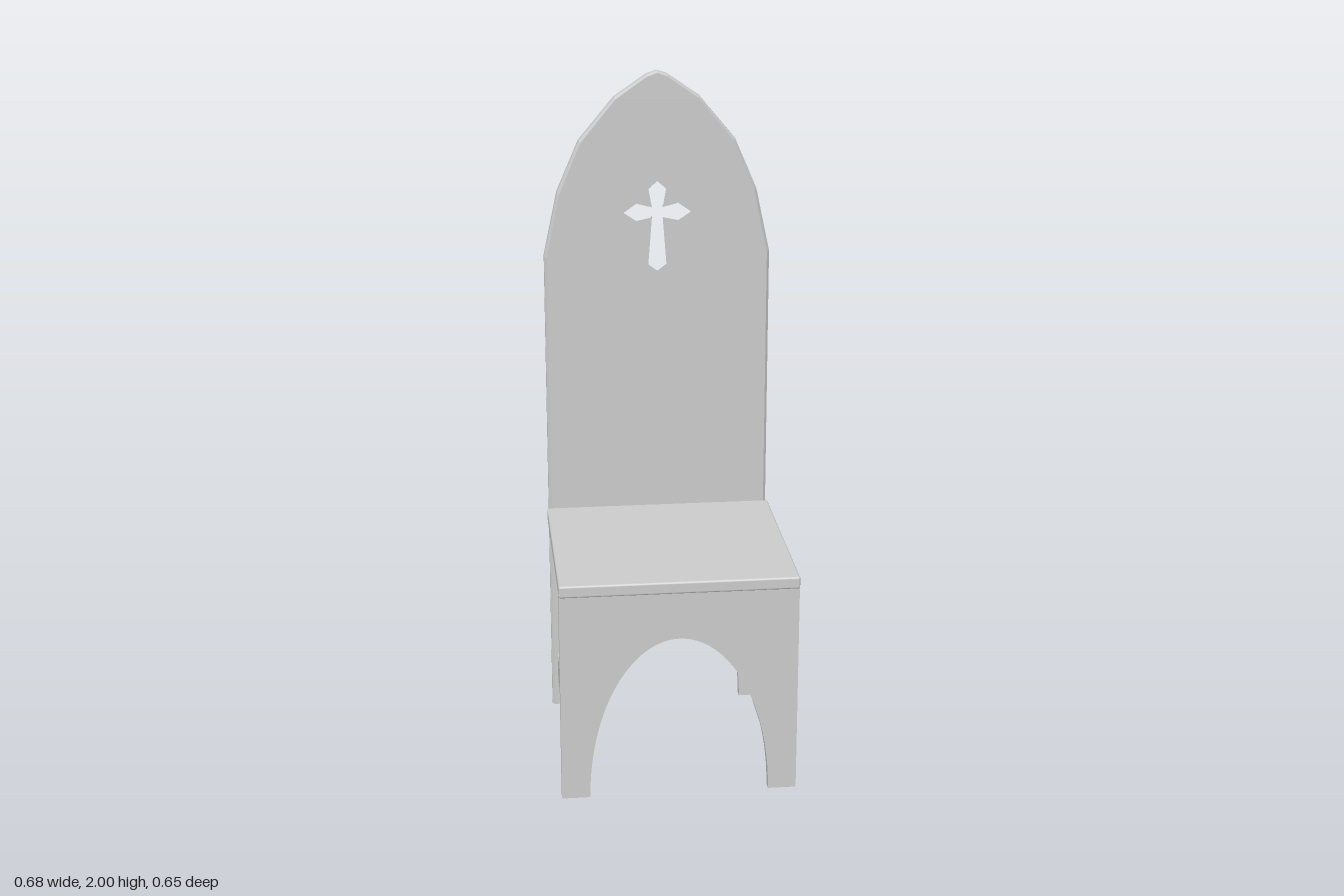
import * as THREE from 'three';
import { RoundedBoxGeometry } from 'three/addons/geometries/RoundedBoxGeometry.js';

const material = new THREE.MeshStandardMaterial({ color: 0xcccccc });

function add(group, name, geometry, x = 0, y = 0, z = 0) {
  const mesh = new THREE.Mesh(geometry, material);
  mesh.name = name;
  mesh.position.set(x, y, z);
  group.add(mesh);
}

// Closed outline from its right half, listed top to bottom with both ends on the axis
function mirrored(half) {
  const left = half.slice(1, -1).reverse().map(([x, y]) => [-x, y]);
  return [...half, ...left].map(([x, y]) => new THREE.Vector2(x, y));
}

// Panel standing on two feet with a half-elliptical arch between them
function archedPanel(halfWidth, upper) {
  const shape = new THREE.Shape();
  shape.moveTo(-0.26, 0);
  shape.lineTo(-halfWidth, 0);
  upper.slice().reverse().forEach(([x, y]) => shape.lineTo(-x, y));
  upper.forEach(([x, y]) => { if (x > 0) shape.lineTo(x, y); });
  shape.lineTo(halfWidth, 0);
  shape.lineTo(0.26, 0);
  shape.absellipse(0, 0, 0.26, 0.49, 0, Math.PI, false);
  return shape;
}

export function createModel() {
  const chair = new THREE.Group();
  chair.name = 'chair';

  // Tall pointed back with a cross-shaped cut-out
  const back = archedPanel(0.336, [
    [0, 2], [0.03, 1.99], [0.125, 1.925], [0.23, 1.8], [0.295, 1.65], [0.336, 1.46],
  ]);
  back.holes.push(new THREE.Path(mirrored([
    [0, 1.678], [0.026, 1.655], [0.016, 1.6], [0.062, 1.612], [0.1, 1.585],
    [0.062, 1.56], [0.016, 1.57], [0.027, 1.428], [0, 1.408],
  ])));
  const backGeometry = new THREE.ExtrudeGeometry(back, {
    depth: 0.028, steps: 2, bevelEnabled: false, curveSegments: 32,
  });
  // Chamfer the front outer edge
  const p = backGeometry.attributes.position;
  for (let i = 0; i < p.count; i++) {
    const x = p.getX(i), y = p.getY(i), z = p.getZ(i);
    if (z > 0.027 && (Math.abs(x) > 0.29 || y > 1.75)) {
      p.setXY(i, x * 0.977, y > 1.4 ? y - 0.006 : y);
    } else if (z > 0.013 && z < 0.015) {
      p.setZ(i, 0.02);
    }
  }
  backGeometry.computeVertexNormals();
  add(chair, 'backPanel', backGeometry, 0, 0, -0.328);

  // Front legs cut from one board
  const front = archedPanel(0.342, [[0.342, 0.632]]);
  add(chair, 'frontPanel', new THREE.ExtrudeGeometry(front, {
    depth: 0.03, bevelEnabled: false, curveSegments: 32,
  }), 0, 0, 0.286);

  // Seat board
  add(chair, 'seat', new RoundedBoxGeometry(0.684, 0.036, 0.625, 2, 0.006), 0, 0.649, 0.0125);

  // Wavy lower stretcher profile, drawn along z
  const wave = new THREE.Shape();
  wave.moveTo(-0.3, 0.084);
  wave.lineTo(0.286, 0.084);
  wave.lineTo(0.286, 0.142);
  wave.splineThru([
    [0.22, 0.139], [0.16, 0.15], [0.09, 0.163], [0.02, 0.157], [-0.06, 0.143],
    [-0.13, 0.139], [-0.2, 0.151], [-0.26, 0.174], [-0.3, 0.175],
  ].map(([z, y]) => new THREE.Vector2(z, y)));
  const stretcher = new THREE.ExtrudeGeometry(wave, {
    depth: 0.045, bevelEnabled: false, curveSegments: 3,
  });
  stretcher.rotateY(-Math.PI / 2);
  stretcher.translate(0.0225, 0, 0);

  // Rails and stretchers on both sides
  for (const [side, s] of [['left', 1], ['right', -1]]) {
    add(chair, side + 'Rail', new THREE.BoxGeometry(0.045, 0.067, 0.586), s * 0.295, 0.5985, -0.007);
    add(chair, side + 'Stretcher', stretcher, s * 0.295, 0, 0);
  }
  return chair;
}
